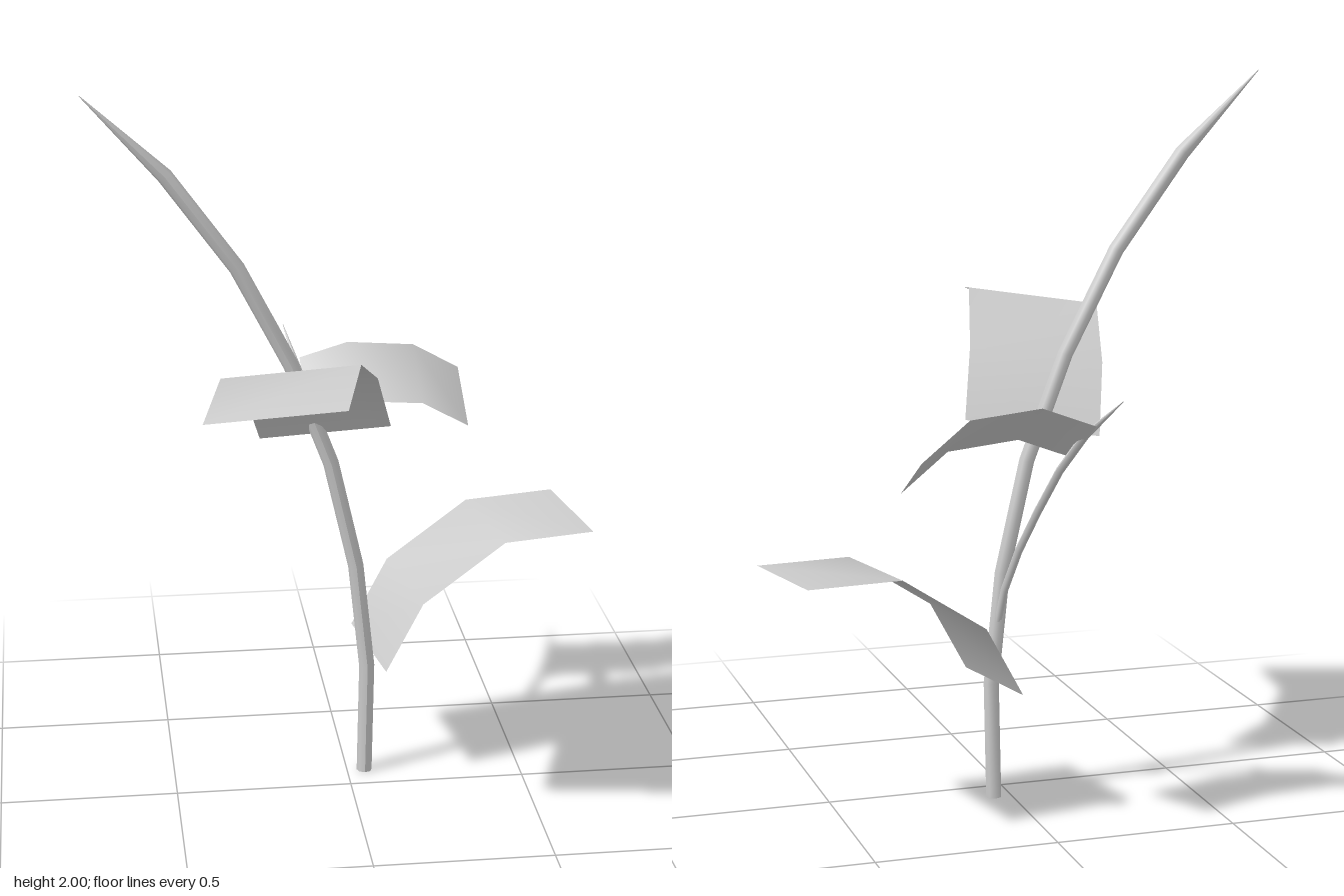
import * as THREE from 'three';

const material = new THREE.MeshStandardMaterial({ color: 0xcccccc, side: THREE.DoubleSide });

// Indexed mesh over a grid of rows of points
function gridMesh(name, rows) {
  const cols = rows[0].length;
  const index = [];
  for (let i = 0; i < rows.length - 1; i++) {
    for (let j = 0; j < cols - 1; j++) {
      const a = i * cols + j, b = a + 1, c = a + cols, d = c + 1;
      index.push(a, c, b, b, c, d);
    }
  }
  const geometry = new THREE.BufferGeometry().setFromPoints(rows.flat());
  geometry.setIndex(index);
  geometry.computeVertexNormals();
  const mesh = new THREE.Mesh(geometry, material);
  mesh.name = name;
  return mesh;
}

// Stalk of constant radius along a path, closed at the base and pointed at the tip
function stalk(name, path, radius, side, sides = 8) {
  const points = path.map(p => new THREE.Vector3(...p));
  const last = points.length - 1;
  const rings = points.map((p, i) => {
    const tangent = points[Math.min(i + 1, last)].clone().sub(points[Math.max(i - 1, 0)]).normalize();
    const v = new THREE.Vector3().crossVectors(tangent, side).normalize();
    const u = new THREE.Vector3().crossVectors(v, tangent);
    const r = i === last ? 0.001 : radius;
    return Array.from({ length: sides + 1 }, (_, j) => {
      const a = (j / sides) * Math.PI * 2;
      return p.clone().addScaledVector(u, r * Math.cos(a)).addScaledVector(v, r * Math.sin(a));
    });
  });
  const group = new THREE.Group();
  group.name = name;
  const centre = rings[0].map(() => points[0].clone());
  group.add(gridMesh(name + 'Shaft', rings), gridMesh(name + 'Base', [centre, rings[0]]));
  return group;
}

// Bent rectangular leaf: one long edge swept across by a width vector
function leaf(name, edge, width) {
  const across = new THREE.Vector3(...width);
  return gridMesh(name, edge.map(p => {
    const a = new THREE.Vector3(...p);
    return [a, a.clone().add(across)];
  }));
}

export function createModel() {
  const model = new THREE.Group();
  model.name = 'plant';

  // Main stem, arching to the right
  model.add(stalk('mainStem', [
    [0.05, 0, -0.09], [0.057, 0.33, -0.09], [0.025, 0.64, -0.09], [-0.045, 0.95, -0.09],
    [-0.155, 1.24, -0.09], [-0.3, 1.52, -0.09], [-0.49, 1.78, -0.09], [-0.71, 2, -0.09],
  ], 0.022, new THREE.Vector3(0, 0, 1)));

  // Thin branch reaching backwards
  model.add(stalk('branch', [
    [0.045, 0.47, -0.09], [0.03, 0.6, -0.125], [0.005, 0.72, -0.175], [-0.025, 0.84, -0.245],
    [-0.055, 0.97, -0.34], [-0.085, 1.08, -0.45], [-0.125, 1.2, -0.63],
  ], 0.011, new THREE.Vector3(1, 0, 0)));

  // Leaves
  model.add(leaf('frontLeaf', [
    [-0.24, 1.015, -0.135], [-0.295, 1.197, 0], [-0.375, 1.322, 0.275], [-0.44, 1.285, 0.54],
  ], [0.358, 0.05, 0.085]));
  model.add(leaf('lowerLeaf', [
    [0.1, 0.35, 0.01], [0.207, 0.545, -0.005], [0.447, 0.705, -0.045], [0.71, 0.71, -0.09],
  ], [-0.058, 0.01, -0.34]));
  model.add(leaf('backLeaf', [
    [-0.085, 1.005, -0.343], [0.053, 1.055, -0.317], [0.25, 1.037, -0.33], [0.393, 0.945, -0.385],
  ], [0, 0.118, -0.202]));

  return model;
}
